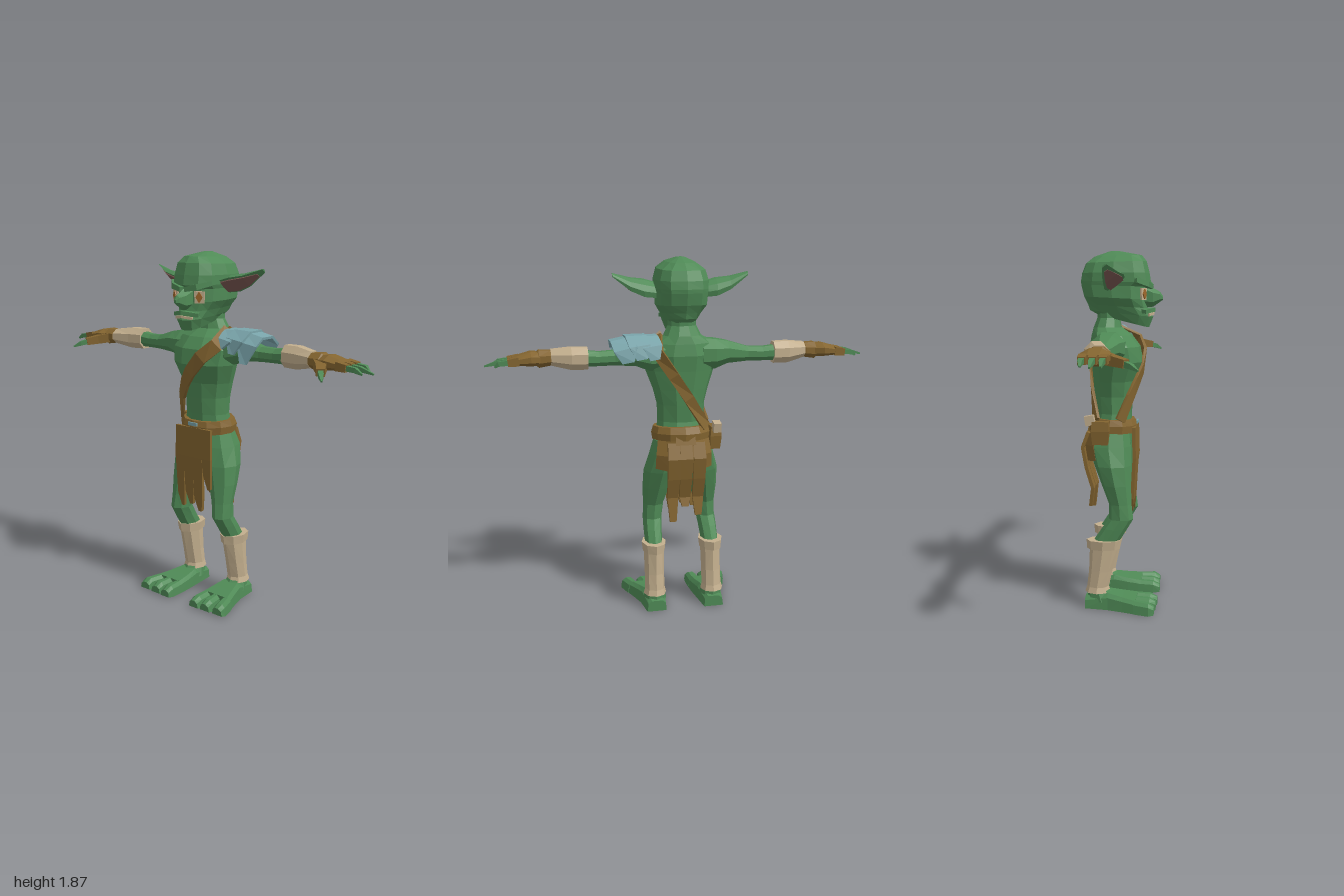
import * as THREE from 'three';

const paint = (name, color) => Object.assign(new THREE.MeshStandardMaterial({ color }), { name });
const green = paint('green skin', 0x4f8a56);
const brown = paint('brown leather', 0x846530);
const beige = paint('beige wrap', 0xc3af8e);
const blue = paint('blue cloth', 0x7aa5ab);
const pink = paint('inner ear', 0x7c5953);
const amber = paint('iris', 0xa0682c);

let side = 1; // +1 builds the left, -1 mirrors to the right
const V = (a) => new THREE.Vector3(a[0], a[1], a[2]);

// Closed faceted solid through rings of points, turned outward by its signed volume
function loft(parent, name, mat, rings) {
  const tris = [];
  const n = rings[0].length;
  for (let i = 0; i + 1 < rings.length; i++) for (let j = 0; j < n; j++) {
    const k = (j + 1) % n, a = rings[i], b = rings[i + 1];
    tris.push([a[j], b[j], b[k]], [a[j], b[k], a[k]]);
  }
  const cap = (r, flip) => {
    const c = [0, 1, 2].map((d) => r.reduce((s, p) => s + p[d], 0) / n);
    r.forEach((p, j) => tris.push(flip ? [c, r[(j + 1) % n], p] : [c, p, r[(j + 1) % n]]));
  };
  cap(rings[0], false);
  cap(rings[rings.length - 1], true);
  const o = V(rings[0][0]);
  let volume = 0;
  for (const [a, b, c] of tris) {
    volume += V(a).sub(o).dot(V(b).sub(o).cross(V(c).sub(o)));
  }
  const flip = volume * side < 0;
  const pos = [];
  for (const [a, b, c] of tris) for (const p of flip ? [a, c, b] : [a, b, c]) pos.push(p[0] * side, p[1], p[2]);
  const g = new THREE.BufferGeometry();
  g.setAttribute('position', new THREE.Float32BufferAttribute(pos, 3));
  g.computeVertexNormals();
  const mesh = new THREE.Mesh(g, mat);
  mesh.name = name;
  parent.add(mesh);
}

// Level ring from front z to back z; yb tilts it, p < 1 squares it off
function hRing(y, cx, zf, zb, rx, n = 10, yb = y, p = 1) {
  const pw = (v) => Math.sign(v) * Math.abs(v) ** p;
  return Array.from({ length: n }, (_, i) => {
    const a = (i / n) * Math.PI * 2, s = pw(Math.sin(a));
    return [cx + rx * pw(Math.cos(a)), (y + yb) / 2 + (s * (y - yb)) / 2, (zf + zb) / 2 + (s * (zf - zb)) / 2];
  });
}

// Upright ring across the x axis
const xRing = (x, y, z, ry, rz, n = 8) => Array.from({ length: n }, (_, i) => {
  const a = ((i + 0.5) / n) * Math.PI * 2, k = 1 / Math.cos(Math.PI / n);
  return [x, y + ry * k * Math.sin(a), z + rz * k * Math.cos(a)];
});

// Strip along [x, y, z, width, thickness] points, facing the given normal
function ribbon(parent, name, mat, path, normal, thick = 0.014) {
  loft(parent, name, mat, path.map((p, i) => {
    const t = V(path[Math.min(i + 1, path.length - 1)]).sub(V(path[Math.max(i - 1, 0)])).normalize();
    const w = t.clone().cross(V(typeof normal === 'function' ? normal(p) : normal)).normalize();
    const m = w.clone().cross(t).normalize();
    return [[1, 1], [-1, 1], [-1, -1], [1, -1]].map(([a, b]) =>
      V(p).addScaledVector(w, (a * p[3]) / 2).addScaledVector(m, (b * (p[4] ?? thick)) / 2).toArray());
  }));
}

function buildBody(g) {
  loft(g, 'torso', green, [
    [0.80, 0.04, -0.13, 0.10], [0.87, 0.06, -0.16, 0.15], [0.95, 0.06, -0.15, 0.14], [1.03, 0.06, -0.13, 0.125],
    [1.12, 0.068, -0.14, 0.128], [1.2, 0.078, -0.147, 0.148], [1.3, 0.12, -0.155, 0.185], [1.38, 0.105, -0.165, 0.2],
    [1.44, 0.06, -0.155, 0.165], [1.48, 0.005, -0.145, 0.1], [1.53, -0.005, -0.125, 0.075], [1.62, 0, -0.13, 0.075],
  ].map(([y, f, b, rx]) => hRing(y, 0, f, b, rx)));
}

function buildHead(g) {
  loft(g, 'head', green, [
    [1.48, 1.55, 0.148, -0.13, 0.062], [1.535, 1.57, 0.17, -0.165, 0.082], [1.58, 1.6, 0.14, -0.175, 0.1],
    [1.625, 1.64, 0.13, -0.195, 0.13], [1.69, 1.7, 0.13, -0.21, 0.132], [1.71, 1.72, 0.158, -0.212, 0.137],
    [1.76, 1.76, 0.15, -0.205, 0.138], [1.82, 1.81, 0.135, -0.185, 0.122], [1.852, 1.845, 0.11, -0.14, 0.075],
    [1.872, 1.872, 0.0, -0.06, 0.02],
  ].map(([y, yb, f, b, rx]) => hRing(y, 0, f, b, rx, 12, yb, 0.75)));
  loft(g, 'nose', green, [[0.11, 1.65, 0.07, 0.04], [0.17, 1.635, 0.048, 0.036], [0.205, 1.638, 0.026, 0.022], [0.22, 1.632, 0.01, 0.008]]
    .map(([z, y, ry, rx]) => Array.from({ length: 6 }, (_, i) => {
      const a = (i * Math.PI) / 3 + Math.PI / 2;
      return [rx * Math.cos(a), y + ry * Math.sin(a), z];
    })));
  ribbon(g, 'teeth', beige, [[-0.055, 1.545, 0.15, 0.014], [0, 1.552, 0.171, 0.012], [0.055, 1.545, 0.15, 0.014]], [0, 0, 1], 0.009);
  ribbon(g, 'upperLip', green, [[-0.075, 1.562, 0.125, 0.02], [0, 1.572, 0.165, 0.022], [0.075, 1.562, 0.125, 0.02]], [0, 0, 1], 0.03);
}

function buildFaceSide(g) {
  const look = [0.45, 0, 1];
  ribbon(g, 'eye', beige, [[0.08, 1.682, 0.124, 0.056], [0.08, 1.622, 0.124, 0.05]], look, 0.009);
  ribbon(g, 'iris', amber, [[0.082, 1.678, 0.13, 0.004], [0.082, 1.652, 0.13, 0.036], [0.082, 1.626, 0.13, 0.004]], look, 0.008);
  ribbon(g, 'brow', green, [[0.012, 1.69, 0.155, 0.024], [0.075, 1.703, 0.14, 0.03], [0.128, 1.72, 0.085, 0.022]], look, 0.03);
  // Ear: half-round leaf whose flat face looks down and forward
  const ear = [[0.1, 1.695, -0.01, 0.05, 0.04], [0.19, 1.712, -0.015, 0.062, 0.045], [0.26, 1.733, -0.025, 0.046, 0.034], [0.352, 1.785, -0.045, 0.014, 0.008]];
  loft(g, 'ear', green, ear.map(([x, y, z, w, h]) => Array.from({ length: 6 }, (_, i) => {
    const a = (i * Math.PI) / 5, u = w * Math.cos(a), v = h * Math.sin(a);
    return [x, y + 0.6 * u + 0.8 * v, z + 0.8 * u - 0.6 * v];
  })));
  ribbon(g, 'innerEar', pink, ear.map(([x, y, z, w]) => [Math.min(x, 0.32), y - 0.002 - (x > 0.3 ? 0.018 : 0), z + 0.002, w * 1.5]), [0, -0.8, 0.6], 0.008);
}

function buildArm(g) {
  const tube = (name, mat, rows) => loft(g, name, mat, rows.map((r) => xRing(...r)));
  tube('arm', green, [[0.1, 1.38, -0.05, 0.08, 0.09], [0.17, 1.378, -0.05, 0.078, 0.088], [0.24, 1.385, -0.052, 0.058, 0.07],
    [0.35, 1.372, -0.055, 0.038, 0.043], [0.43, 1.37, -0.062, 0.036, 0.04], [0.52, 1.375, -0.065, 0.042, 0.042]]);
  tube('bracer', beige, [[0.488, 1.376, -0.067, 0.056, 0.052], [0.57, 1.376, -0.058, 0.057, 0.056], [0.67, 1.38, -0.028, 0.04, 0.05]]);
  tube('gloveCuff', brown, [[0.66, 1.378, -0.028, 0.034, 0.042], [0.675, 1.378, -0.028, 0.038, 0.05], [0.73, 1.375, -0.028, 0.044, 0.052], [0.74, 1.375, -0.028, 0.036, 0.046]]);
  tube('glove', brown, [[0.72, 1.375, -0.028, 0.034, 0.05], [0.77, 1.378, -0.032, 0.036, 0.07], [0.83, 1.372, -0.033, 0.026, 0.066], [0.855, 1.37, -0.033, 0.02, 0.06]]);
  const up = [0, 1, 0];
  [[-0.08, 0.95, -0.078], [-0.033, 1.0, -0.03], [0.013, 0.965, 0.013]].forEach(([z, tip, tz]) => {
    ribbon(g, 'fingerSheath', brown, [[0.83, 1.372, z, 0.04, 0.044], [0.885, 1.366, z, 0.036, 0.036]], up);
    ribbon(g, 'finger', green, [[0.87, 1.368, z, 0.026, 0.026], [0.93, 1.362, (z + tz) / 2, 0.022, 0.024], [tip, 1.345, tz, 0.008, 0.008]], up);
  });
  ribbon(g, 'thumbSheath', brown, [[0.73, 1.368, 0.0, 0.07, 0.05], [0.765, 1.358, 0.05, 0.05, 0.046], [0.8, 1.348, 0.105, 0.04, 0.038]], up);
  ribbon(g, 'thumb', green, [[0.79, 1.35, 0.09, 0.028, 0.028], [0.82, 1.338, 0.13, 0.024, 0.024], [0.846, 1.32, 0.163, 0.006, 0.008]], up);
}

function buildLeg(g) {
  const tube = (name, mat, rows) => loft(g, name, mat, rows.map(([y, cx, f, b, rx]) => hRing(y, cx, f, b, rx, 8)));
  tube('leg', green, [[0.93, 0.08, 0.05, -0.14, 0.07], [0.86, 0.09, 0.062, -0.16, 0.082], [0.76, 0.113, 0.065, -0.13, 0.088],
    [0.66, 0.128, 0.066, -0.09, 0.076], [0.56, 0.142, 0.07, -0.05, 0.056], [0.48, 0.148, 0.08, -0.05, 0.052],
    [0.43, 0.152, 0.05, -0.085, 0.05], [0.34, 0.155, -0.005, -0.145, 0.046]]);
  tube('boot', beige, [[0.085, 0.158, -0.04, -0.175, 0.062], [0.115, 0.157, -0.048, -0.165, 0.054], [0.2, 0.157, -0.03, -0.155, 0.053], [0.33, 0.156, 0, -0.15, 0.055]]);
  tube('bootCuff', beige, [[0.32, 0.156, 0.01, -0.165, 0.06], [0.368, 0.156, 0.018, -0.168, 0.066]]);
  tube('ankle', green, [[0.04, 0.155, 0.0, -0.165, 0.065], [0.1, 0.157, -0.045, -0.16, 0.052]]);
  const slice = ([z, x0, x1, h, y0 = 0.002]) => [[x0, y0, z], [x1, y0, z], [x1 - 0.006, h * 0.75, z], [x1 - 0.025, h, z], [x0 + 0.02, h, z], [x0 + 0.004, h * 0.75, z]];
  loft(g, 'foot', green, [[-0.172, 0.105, 0.21, 0.06], [-0.05, 0.09, 0.225, 0.088], [0.03, 0.08, 0.25, 0.075], [0.1, 0.075, 0.275, 0.066]].map(slice));
  [[0.075, 0.14, 0.072, 0.14], [0.142, 0.205, 0.146, 0.215], [0.208, 0.275, 0.228, 0.3]].forEach(([a, b, c, d], i) =>
    loft(g, 'toe', green, [[0.09, a, b, 0.066], [0.17, c, d, 0.062], [0.207 - i * 0.004, c + 0.003, d - 0.003, 0.045, 0.008]].map(slice)));
}

function buildClothes(g) {
  loft(g, 'belt', brown, [[0.925, 0.94, 0.084, -0.175, 0.155], [0.965, 0.975, 0.088, -0.178, 0.16], [0.995, 1.01, 0.078, -0.16, 0.15]]
    .map(([y, yb, f, b, rx]) => hRing(y, 0, f, b, rx, 12, yb)));
  ribbon(g, 'buckle', blue, [[-0.03, 0.98, 0.089, 0.018], [0.03, 0.98, 0.089, 0.018]], [0, 0, 1], 0.008);
  // Ragged front apron
  [[-0.093, 0.51, 0.056], [-0.033, 0.53, 0.066], [0.03, 0.5, 0.066], [0.09, 0.63, 0.058]].forEach(([x, y, w]) =>
    ribbon(g, 'frontCloth', brown, [[x, 0.96, 0.078, w], [x, 0.8, 0.082, w + 0.004], [x, y + 0.07, 0.07, w - 0.01], [x + 0.008, y, 0.064, w * 0.3]], [0, 0, 1], 0.018));
  // Seat panels and back tails
  [-1, 0, 1].forEach((k) => ribbon(g, 'seatCloth', brown,
    [[k * 0.085, 0.97, -0.155 + 0.035 * k * k, 0.1], [k * 0.095, 0.86, -0.188 + 0.035 * k * k, 0.115], [k * 0.1, 0.78, -0.175 + 0.035 * k * k, 0.11]], [k * 0.6, 0, -1], 0.016));
  [[-0.07, 0.53], [0, 0.58], [0.065, 0.5]].forEach(([x, y]) => ribbon(g, 'backCloth', brown,
    [[x, 0.93, -0.165, 0.06], [x, 0.85, -0.195, 0.066], [x, 0.74, -0.175, 0.064], [x, 0.63, -0.142, 0.058], [x, y, -0.155, 0.034]], [0, 0, -1], 0.018));
  // Shoulder strap, front and back halves
  const out = ([x, y, z]) => [x * 0.5, Math.max(y - 1.42, 0) * 1.5, z + 0.045];
  ribbon(g, 'strapFront', brown, [[0.13, 1.475, -0.05, 0.07], [0.15, 1.41, 0.08, 0.072], [0.08, 1.345, 0.12, 0.072], [0.0, 1.26, 0.112, 0.068],
    [-0.05, 1.2, 0.09, 0.064], [-0.1, 1.12, 0.058, 0.06], [-0.14, 1.0, 0.01, 0.056]], out, 0.016);
  ribbon(g, 'strapBack', brown, [[0.13, 1.475, -0.06, 0.06], [0.14, 1.4, -0.15, 0.06], [0.06, 1.28, -0.163, 0.056], [-0.02, 1.16, -0.152, 0.054], [-0.12, 1.0, -0.118, 0.054]], out, 0.016);
  // Hip pouch
  ribbon(g, 'pouch', brown, [[-0.168, 0.88, -0.09, 0.08, 0.05], [-0.17, 0.95, -0.09, 0.095, 0.06], [-0.17, 1.0, -0.09, 0.085, 0.05]], [-1, 0, 0]);
  ribbon(g, 'pouchScroll', beige, [[-0.17, 0.98, -0.14, 0.05, 0.04], [-0.17, 1.03, -0.15, 0.05, 0.04]], [-1, 0, 0]);
  // Overlapping shoulder plates arched from front to back
  [[0.17, 0, 0.1], [0.235, 0.004, 0.11], [0.305, -0.01, 0.12]].forEach(([x, d, w], i) =>
    ribbon(g, 'shoulderPlate', blue, [[x - 0.01, 1.365 + d + 0.03 * (1 - i), 0.06 - i * 0.01, w * 0.3], [x, 1.435 + d, 0.045 - i * 0.01, w], [x + 0.01, 1.475 + d, -0.02, w],
      [x + 0.01, 1.476 + d, -0.1, w], [x, 1.435 + d, -0.165, w], [x - 0.01, 1.37 + d, -0.178, w * 0.5]], ([, y, z]) => [i === 2 ? 0.02 : 0, y - 1.36, z + 0.06], 0.014));
}

export function createModel() {
  const model = new THREE.Group();
  model.name = 'figure';
  const part = (name, build, s = 1) => {
    const g = new THREE.Group();
    g.name = name;
    side = s;
    build(g);
    side = 1;
    model.add(g);
  };
  part('body', buildBody);
  part('headGroup', buildHead);
  part('clothes', buildClothes);
  for (const s of [1, -1]) {
    const label = s > 0 ? 'left' : 'right';
    part(label + 'Face', buildFaceSide, s);
    part(label + 'ArmGroup', buildArm, s);
    part(label + 'LegGroup', buildLeg, s);
  }
  return model;
}
